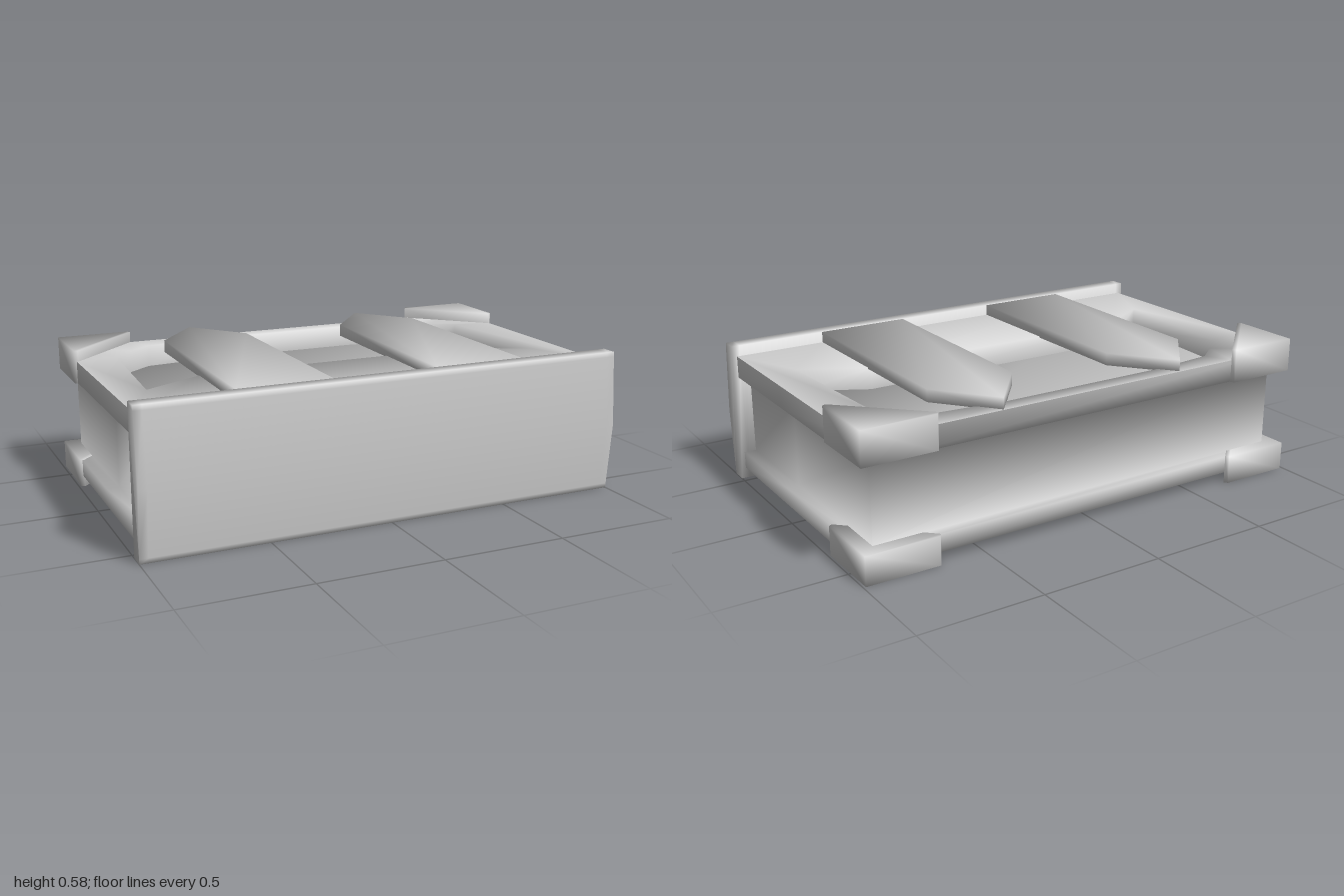
import * as THREE from 'three';
import { toCreasedNormals } from 'three/addons/utils/BufferGeometryUtils.js';

const material = new THREE.MeshStandardMaterial({ color: 0xcccccc });

// Shade across every edge, so the boxy forms look soft
const smooth = (geo) => toCreasedNormals(geo, Math.PI);

// Flat plate from an [x, z] outline, standing between heights y0 and y1
function plate(outline, y0, y1) {
  const shape = new THREE.Shape(outline.map(([x, z]) => new THREE.Vector2(x, -z)));
  const geo = new THREE.ExtrudeGeometry(shape, { depth: y1 - y0, bevelEnabled: false });
  return smooth(geo.rotateX(-Math.PI / 2).translate(0, y0, 0));
}

// Skin joining closed loops; each loop is a right half outline, mirrored in x.
// Extra triangles close loops where needed.
function loft(loops, extraTriangles = []) {
  const rings = loops.map(({ y, half }) => [
    ...half.map(([x, z]) => [x, y, z]),
    ...half.slice().reverse().map(([x, z]) => [-x, y, z]),
  ]);
  const n = rings[0].length;
  const index = [...extraTriangles];
  for (let k = 0; k < rings.length - 1; k++) {
    for (let i = 0; i < n; i++) {
      const a = k * n + i, b = k * n + (i + 1) % n;
      index.push(a, b, b + n, a, b + n, a + n);
    }
  }
  const geo = new THREE.BufferGeometry();
  geo.setAttribute('position', new THREE.Float32BufferAttribute(rings.flat(2), 3));
  geo.setIndex(index);
  return smooth(geo);
}

export function createModel() {
  const group = new THREE.Group();
  const add = (name, geo) => {
    const mesh = new THREE.Mesh(geo, material);
    mesh.name = name;
    group.add(mesh);
  };

  // Bowed front panel: side profile (z, y) extruded across the width,
  // in steps so that the soft shading stays near the ends
  const profile = new THREE.Shape([
    [0.53, 0], [0.595, 0], [0.597, 0.02], [0.62, 0.28], [0.597, 0.56], [0.595, 0.58], [0.53, 0.58],
  ].map(([z, y]) => new THREE.Vector2(-z, y)));
  const panel = new THREE.ExtrudeGeometry(profile, { depth: 2, steps: 60, bevelEnabled: false });
  add('frontPanel', smooth(panel.rotateY(Math.PI / 2).translate(-1, 0, 0)));

  // Body: bottom slab, recessed channel and top rail in one skin,
  // closed underneath and by a floor level with the top of the channel
  const rail = [[0.98, 0.54], [0.98, 0.08], [0.98, -0.605]];
  const channel = [[0.93, 0.54], [0.93, 0.08], [0.93, -0.56]];
  const underside = [2, 1, 0, 2, 0, 5, 2, 5, 4, 2, 4, 3];
  const floor = [23, 18, 19, 23, 19, 20, 23, 20, 21, 23, 21, 22];
  add('body', loft([
    { y: 0.045, half: rail },
    { y: 0.115, half: rail },
    { y: 0.115, half: channel },
    { y: 0.445, half: channel },
    { y: 0.445, half: rail },
    { y: 0.535, half: rail },
  ], [...underside, ...floor]));

  // Flat top frame with an opening that drops to the floor
  const opening = [[0.59, 0.1], [0.85, 0.24], [0.81, -0.35], [0.72, -0.43], [0.63, -0.5], [0.35, -0.53]];
  add('topFrame', loft([
    { y: 0.535, half: [[0.6, 0.53], [0.98, 0.53], [0.98, -0.32], [0.98, -0.605], [0.68, -0.605], [0.35, -0.605]] },
    { y: 0.535, half: opening },
    { y: 0.44, half: opening },
  ]));

  for (const side of [1, -1]) {
    const name = side > 0 ? 'left' : 'right';

    // Pointed slat across the opening
    const slat = [[-0.195, 0.53], [0.19, 0.53], [0.185, -0.37], [0, -0.6], [-0.185, -0.37]];
    add(name + 'Slat', plate(slat.map(([x, z]) => [x + side * 0.41, z]), 0.53, 0.58));

    // Triangular back corner caps, top and bottom
    const cap = [[0.99, -0.62], [0.69, -0.62], [0.68, -0.605], [0.975, -0.32], [0.99, -0.33]]
      .map(([x, z]) => [side * x, z]);
    add(name + 'TopCornerCap', plate(cap, 0.443, 0.58));
    add(name + 'BottomCornerCap', plate(cap, 0, 0.117));
  }
  return group;
}
